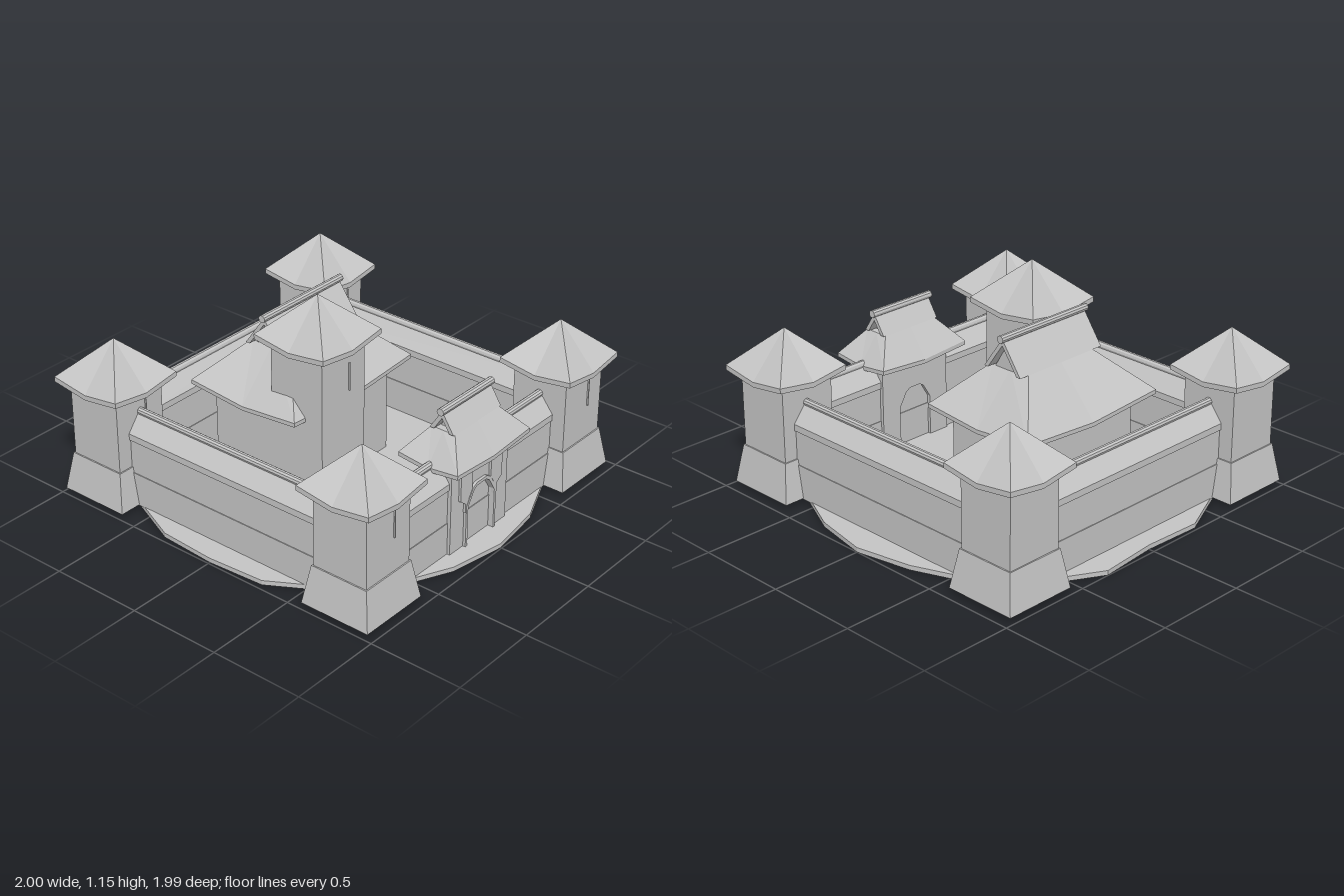
import * as THREE from 'three';

const stone = new THREE.MeshStandardMaterial({ color: 0xc4c4c4, side: THREE.DoubleSide, flatShading: true });
stone.name = 'stone grey';

function add(parent, name, geometry, x = 0, y = 0, z = 0) {
  const mesh = new THREE.Mesh(geometry, stone);
  mesh.name = name;
  mesh.position.set(x, y, z);
  parent.add(mesh);
  return mesh;
}

function group(parent, name, x = 0, z = 0) {
  const g = new THREE.Group();
  g.name = name;
  g.position.set(x, 0, z);
  parent.add(g);
  return g;
}

// Joins rectangular rings [halfWidth, halfDepth, y, sag]; sag lowers the middle of each side
const AROUND = [[-1, -1], [0, -1], [1, -1], [1, 0], [1, 1], [0, 1], [-1, 1], [-1, 0]];
function loft(rings, closed = true) {
  const pts = rings.map(([w, d, y, sag = 0]) =>
    AROUND.map(([i, k]) => [i * w, i && k ? y : y - sag, k * d]));
  const pos = [];
  const tri = (...corners) => corners.forEach((p) => pos.push(...p));
  const last = rings.length - 1;
  for (let i = 0; i < 8; i++) {
    const j = (i + 1) % 8;
    for (let r = 0; r < last; r++) {
      const [a, b, c, d] = [pts[r][i], pts[r + 1][i], pts[r + 1][j], pts[r][j]];
      if (rings[r + 1][0] > 0) tri(a, b, c);
      tri(a, c, d);
    }
    if (closed) tri([0, rings[0][2] - (rings[0][3] || 0), 0], pts[0][i], pts[0][j]);
    if (rings[last][0] > 0) tri([0, rings[last][2], 0], pts[last][j], pts[last][i]);
  }
  const g = new THREE.BufferGeometry();
  g.setAttribute('position', new THREE.Float32BufferAttribute(pos, 3));
  g.computeVertexNormals();
  return g;
}

// Extrudes an outline, centred on its depth
function plate(points, depth) {
  const shape = new THREE.Shape(points.map(([x, y]) => new THREE.Vector2(x, y)));
  return new THREE.ExtrudeGeometry(shape, { depth, bevelEnabled: false }).translate(0, 0, -depth / 2);
}

const mirrored = (half) => [...half, ...half.map(([x, y]) => [-x, y]).reverse()];
const alongX = (geometry) => geometry.rotateY(Math.PI / 2);
const ridgeTube = (r, length) => new THREE.CylinderGeometry(r, r, length, 10).rotateZ(Math.PI / 2);

// Square pyramid roof with raised corners
function towerRoof(parent, h, y) {
  add(parent, 'towerRoof', loft([[h, h, y, 0.03], [h, h, y + 0.027, 0.03], [0, 0, y + 0.227]]));
}

function arrowSlit(parent, x, y, z) {
  add(parent, 'arrowSlit', new THREE.BoxGeometry(0.006, 0.15, 0.012), x, y, z);
}

// Hipped lower roof with a steep gable and ridge on top
function hipGableRoof(parent, o) {
  add(parent, 'hipRoof', loft([
    [o.w, o.d, o.eave, o.sag], [o.w, o.d, o.eave + 0.022, o.sag], [o.topW, o.topD, o.topY],
  ]));
  const t = 0.025, rise = o.ridge - o.topY;
  const chevron = [[o.topD, o.topY], [0, o.ridge], [-o.topD, o.topY],
    [-o.topD + t, o.topY], [0, o.ridge - t * rise / o.topD], [o.topD - t, o.topY]];
  add(parent, 'gableRoof', alongX(plate(chevron, o.gable * 2)));
  const inner = o.topD - t;
  add(parent, 'gableWall', alongX(plate(
    [[-inner, o.topY - 0.01], [inner, o.topY - 0.01], [0, o.ridge - t]], o.gable * 2 - 0.1)));
  add(parent, 'roofRidge', ridgeTube(0.02, o.gable * 2 + 0.03), 0, o.ridge, 0);
}

// Arched doorway with a bracket on each side
function portal(parent, z) {
  const outer = [[0.12, 0.025], [0.12, 0.25], [0.07, 0.335], [0.04, 0.352]];
  const inner = [[0.105, 0.025], [0.105, 0.245], [0.06, 0.32], [0.035, 0.335]];
  const half = [...inner].reverse();
  const frame = [...outer, ...outer.map(([x, y]) => [-x, y]).reverse(),
    ...inner.map(([x, y]) => [-x, y]), ...half];
  add(parent, 'archFrame', plate(frame, 0.02), 0, 0, z);
  for (const s of [-1, 1]) {
    const bracket = [[0.165, 0.48], [0.075, 0.48], [0.075, 0.33], [0.1, 0.29], [0.105, 0.22],
      [0.125, 0.22], [0.125, 0.27], [0.165, 0.3]].map(([x, y]) => [x * s, y]);
    add(parent, 'bracket', plate(bracket, 0.016), 0, 0, z);
    add(parent, 'bracketCap', new THREE.BoxGeometry(0.12, 0.015, 0.024), 0.13 * s, 0.482, z);
  }
}

function cornerTower(parent, x, z) {
  const g = group(parent, 'cornerTower', x, z);
  add(g, 'towerBody', loft([[0.197, 0.197, 0.025], [0.163, 0.163, 0.23],
    [0.156, 0.156, 0.23], [0.156, 0.156, 0.625]], false));
  towerRoof(g, 0.21, 0.638);
  arrowSlit(g, 0.04, 0.49, 0.158);
}

function curtainWall(parent, x, z, length, turned) {
  const g = group(parent, 'curtainWall', x, z);
  const side = [[0.079, 0.02], [0.079, 0.2], [0.075, 0.2], [0.075, 0.385], [0.083, 0.385], [0.083, 0.42], [0.012, 0.51]];
  add(g, 'wallAndCap', alongX(plate(mirrored(side), length)));
  add(g, 'wallRidge', ridgeTube(0.02, length), 0, 0.515, 0);
  if (turned) g.rotation.y = Math.PI / 2;
}

export function createModel() {
  const model = new THREE.Group();
  model.name = 'walledFort';

  // Uneven round ground slab
  const radii = [1, 0.99, 1, 1.02, 1, 0.995, 0.99, 1, 1, 1.02, 0.99, 1.02, 1.04, 1.05, 1.035, 0.97, 1.05, 1.04, 1.02, 0.99];
  const rim = radii.map((r, i) => {
    const a = i * Math.PI / 10;
    return [r * Math.cos(a), -r * Math.sin(a)];
  });
  add(model, 'ground', plate(rim, 0.025).rotateX(-Math.PI / 2), 0, 0.0125, 0);

  // Corner towers and the walls between them
  for (const x of [-0.79, 0.762]) for (const z of [-0.787, 0.77]) cornerTower(model, x, z);
  curtainWall(model, -0.014, 0.77, 1.3, false);
  curtainWall(model, -0.014, -0.787, 1.3, false);
  curtainWall(model, -0.787, -0.01, 1.3, true);
  curtainWall(model, 0.768, -0.01, 1.3, true);

  // Gatehouse with an arched passage front
  const gate = group(model, 'gatehouse', -0.014, 0.77);
  const arch = [[0.225, 0.02], [0.225, 0.51], [-0.225, 0.51], [-0.225, 0.02], [-0.105, 0.02], [-0.105, 0.245],
    [-0.06, 0.32], [-0.035, 0.335], [0.035, 0.335], [0.06, 0.32], [0.105, 0.245], [0.105, 0.02]];
  add(gate, 'gateBody', plate(arch, 0.19));
  add(gate, 'gateDoor', new THREE.BoxGeometry(0.22, 0.33, 0.14), 0, 0.185, 0);
  portal(gate, 0.1);
  hipGableRoof(gate, { w: 0.288, d: 0.175, eave: 0.507, sag: 0.02, topW: 0.175, topD: 0.07,
    topY: 0.66, gable: 0.187, ridge: 0.768 });

  // Main hall
  const hall = group(model, 'hall', -0.015, -0.247);
  add(hall, 'hallBody', new THREE.BoxGeometry(0.74, 0.53, 0.5), 0, 0.285, 0);
  portal(hall, 0.255);
  hipGableRoof(hall, { w: 0.453, d: 0.338, eave: 0.545, sag: 0.03, topW: 0.225, topD: 0.12,
    topY: 0.785, gable: 0.283, ridge: 0.955 });

  // Keep tower
  const keep = group(model, 'keep', -0.228, 0.037);
  add(keep, 'keepBody', new THREE.BoxGeometry(0.32, 0.89, 0.32), 0, 0.465, 0);
  towerRoof(keep, 0.217, 0.925);
  arrowSlit(keep, 0.04, 0.745, 0.163);

  return model;
}
